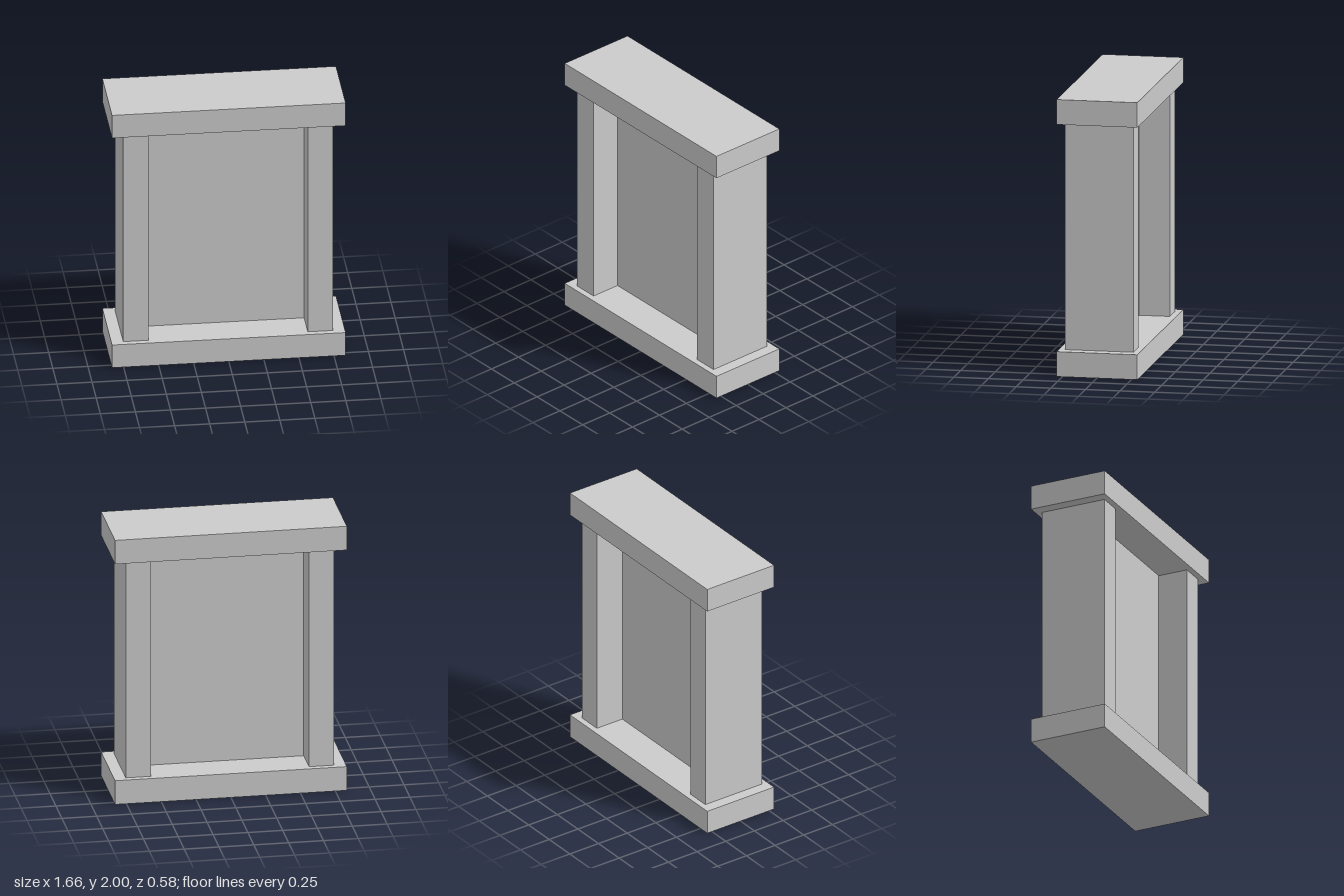
import * as THREE from 'three';

const material = new THREE.MeshStandardMaterial({ color: 0xcccccc, flatShading: true });

function addBox(group, name, [w, h, d], [x, y, z]) {
  const mesh = new THREE.Mesh(new THREE.BoxGeometry(w, h, d), material);
  mesh.name = name;
  mesh.position.set(x, y, z);
  group.add(mesh);
}

export function createModel() {
  const group = new THREE.Group();
  group.name = 'framedPanel';

  const slabHeight = 0.18;
  const innerHeight = 2 - 2 * slabHeight;

  // Matching slabs at the foot and the head
  addBox(group, 'baseSlab', [1.665, slabHeight, 0.582], [0, slabHeight / 2, 0]);
  addBox(group, 'topSlab', [1.665, slabHeight, 0.582], [0, 2 - slabHeight / 2, 0]);

  // Side posts
  for (const [name, side] of [['leftPost', 1], ['rightPost', -1]]) {
    addBox(group, name, [0.18, innerHeight, 0.494], [side * 0.658, 1, 0]);
  }

  // Thin panel recessed between the posts
  addBox(group, 'panel', [1.136, innerHeight, 0.05], [0, 1, 0]);

  return group;
}
